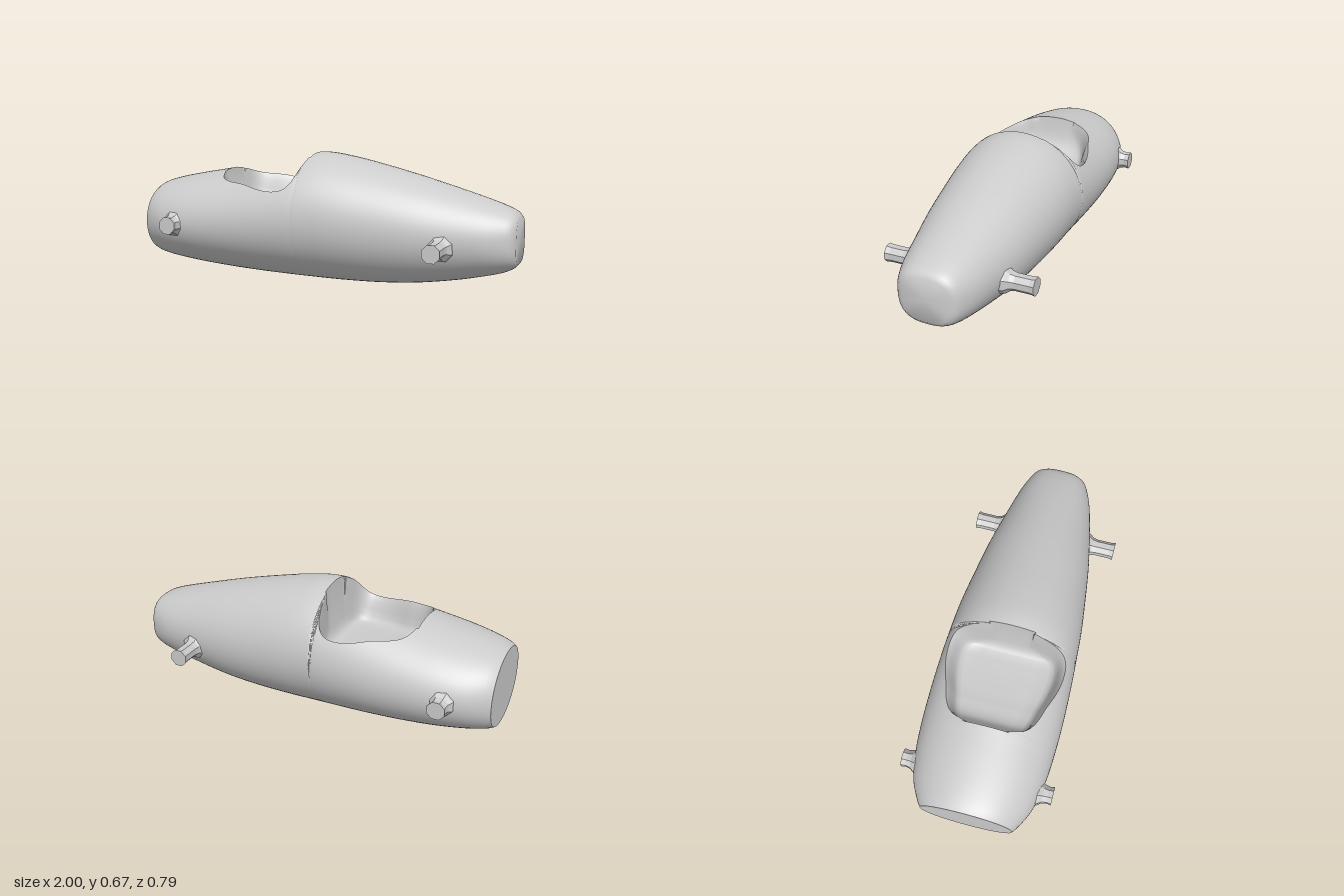
import * as THREE from 'three';
import { toCreasedNormals } from 'three/addons/utils/BufferGeometryUtils.js';

// hull keys along x: [x, bottom, top, half width, roundness exponent]
const HULL = [
  [-1, 0.09, 0.475, 0.24, 2.1], [-0.97, 0.08, 0.492, 0.262, 2.1], [-0.88, 0.063, 0.517, 0.308, 2],
  [-0.75, 0.048, 0.543, 0.338, 2], [-0.6, 0.034, 0.57, 0.352, 2], [-0.4, 0.02, 0.61, 0.356, 2],
  [-0.2, 0.011, 0.653, 0.351, 2], [-0.04, 0.006, 0.676, 0.342, 2], [0.1, 0.004, 0.66, 0.333, 2],
  [0.3, 0.007, 0.617, 0.31, 2], [0.5, 0.022, 0.567, 0.282, 2], [0.7, 0.052, 0.511, 0.242, 2],
  [0.85, 0.085, 0.465, 0.207, 2.1], [0.93, 0.108, 0.436, 0.178, 2.3], [0.98, 0.133, 0.41, 0.15, 2.6],
  [1, 0.155, 0.385, 0.118, 3],
];
// cockpit keys along x: [x, rim half width, floor height]
const COCKPIT = [
  [-0.57, 0.12, 0.52], [-0.55, 0.18, 0.45], [-0.5, 0.225, 0.385], [-0.4, 0.26, 0.365],
  [-0.3, 0.293, 0.36], [-0.2, 0.305, 0.36], [-0.13, 0.288, 0.365], [-0.1, 0.235, 0.38], [-0.083, 0.12, 0.43],
];
const X0 = COCKPIT[0][0], X1 = COCKPIT[COCKPIT.length - 1][0];

// smooth cubic interpolation of a key table
function sample(keys, x) {
  const last = keys.length - 1;
  x = THREE.MathUtils.clamp(x, keys[0][0], keys[last][0]);
  let i = 0;
  while (i < last - 1 && x > keys[i + 1][0]) i++;
  const a = keys[i], b = keys[i + 1], h = b[0] - a[0], t = (x - a[0]) / h;
  const slope = (k, c) => {
    const p = keys[Math.max(k - 1, 0)], q = keys[Math.min(k + 1, last)];
    return (q[c] - p[c]) / (q[0] - p[0]);
  };
  return a.map((v, c) => c === 0 ? x
    : v * (1 + 2 * t) * (1 - t) ** 2 + b[c] * t * t * (3 - 2 * t)
      + h * t * (1 - t) * (slope(i, c) * (1 - t) - slope(i + 1, c) * t));
}

// inner columns: share of the rim width and share of the cockpit depth
const INNER = [[0.97, 0.08], [0.93, 0.25], [0.885, 0.52], [0.845, 0.78], [0.8, 0.93], [0.72, 1], [0.5, 1], [0.25, 1], [0, 1]];
const OUTER = 30;

// closed cross-section from the keel, up the left side, over the top and back
function section(x, open) {
  const [, bottom, top, w, p] = sample(HULL, x);
  const [, rim, floor] = sample(COCKPIT, x);
  const r = Math.min(rim, w * 0.6 + (open ? 1 : 0));
  const c = (top + bottom) / 2, h = (top - bottom) / 2;
  const rimAngle = Math.acos((r / w) ** (p / 2));
  const hullY = z => c + h * Math.max(0, 1 - (z / w) ** p) ** (1 / p);
  const side = [];
  for (let j = 0; j <= OUTER; j++) {
    const t = THREE.MathUtils.lerp(-Math.PI / 2, rimAngle, j / OUTER);
    const cs = j === 0 ? 0 : Math.cos(t), sn = Math.sin(t);
    side.push([x, c + h * Math.sign(sn) * Math.abs(sn) ** (2 / p), w * Math.abs(cs) ** (2 / p)]);
  }
  const rimY = hullY(r);
  for (const [u, d] of INNER) {
    side.push([x, open ? THREE.MathUtils.lerp(rimY, floor, d) : hullY(r * u), r * u]);
  }
  const mirrored = side.slice(1, -1).reverse().map(([a, b, z]) => [a, b, -z]);
  return side.concat(mirrored);
}

function hullGeometry() {
  const stations = [];
  const span = (from, to, n, open) => {
    for (let i = 0; i <= n; i++) stations.push(section(THREE.MathUtils.lerp(from, to, i / n), open));
  };
  span(-1, X0 - 0.008, 20, false);
  span(X0, X1, 44, true);
  span(X1 + 0.008, 0.9, 36, false);
  span(0.91, 1, 10, false);

  const n = stations[0].length, pos = stations.flat(2), index = [];
  for (let i = 0; i < stations.length - 1; i++) {
    for (let j = 0; j < n; j++) {
      const k = (j + 1) % n, a = i * n + j, d = i * n + k;
      index.push(a, a + n, d, a + n, d + n, d);
    }
  }
  // flat end caps
  const base = (stations.length - 1) * n, tail = stations.length * n;
  pos.push(-1, 0.28, 0, 1, 0.27, 0);
  for (let j = 0; j < n; j++) {
    const k = (j + 1) % n;
    index.push(tail, j, k, tail + 1, base + k, base + j);
  }
  const g = new THREE.BufferGeometry();
  g.setAttribute('position', new THREE.Float32BufferAttribute(pos, 3));
  g.setIndex(index);
  return toCreasedNormals(g, 0.75);
}

// eight-sided axle stub, flared where it leaves the hull
function axleStub(length, side) {
  const profile = [[0.075, -0.04], [0.066, 0], [0.05, 0.02], [0.044, 0.045], [0.044, length - 0.025], [0.048, length], [0, length]];
  const g = new THREE.LatheGeometry(profile.map(([r, y]) => new THREE.Vector2(r, y)), 8, Math.PI / 8);
  return g.rotateX(side * Math.PI / 2);
}

export function createModel() {
  const group = new THREE.Group();
  const grey = new THREE.MeshStandardMaterial({ color: 0xcccccc });
  const faceted = new THREE.MeshStandardMaterial({ color: 0xcccccc, flatShading: true });

  const hull = new THREE.Mesh(hullGeometry(), grey);
  hull.name = 'carBody';
  group.add(hull);

  // axle stubs: [name, x, y, z where the stub starts]
  for (const [name, x, y, z] of [['tailAxleStub', -0.777, 0.293, 0.325], ['noseAxleStub', 0.653, 0.245, 0.248]]) {
    for (const side of [1, -1]) {
      const stub = new THREE.Mesh(axleStub(0.395 - z, side), faceted);
      stub.name = name + (side > 0 ? 'Front' : 'Back');
      stub.position.set(x, y, side * z);
      group.add(stub);
    }
  }
  return group;
}
